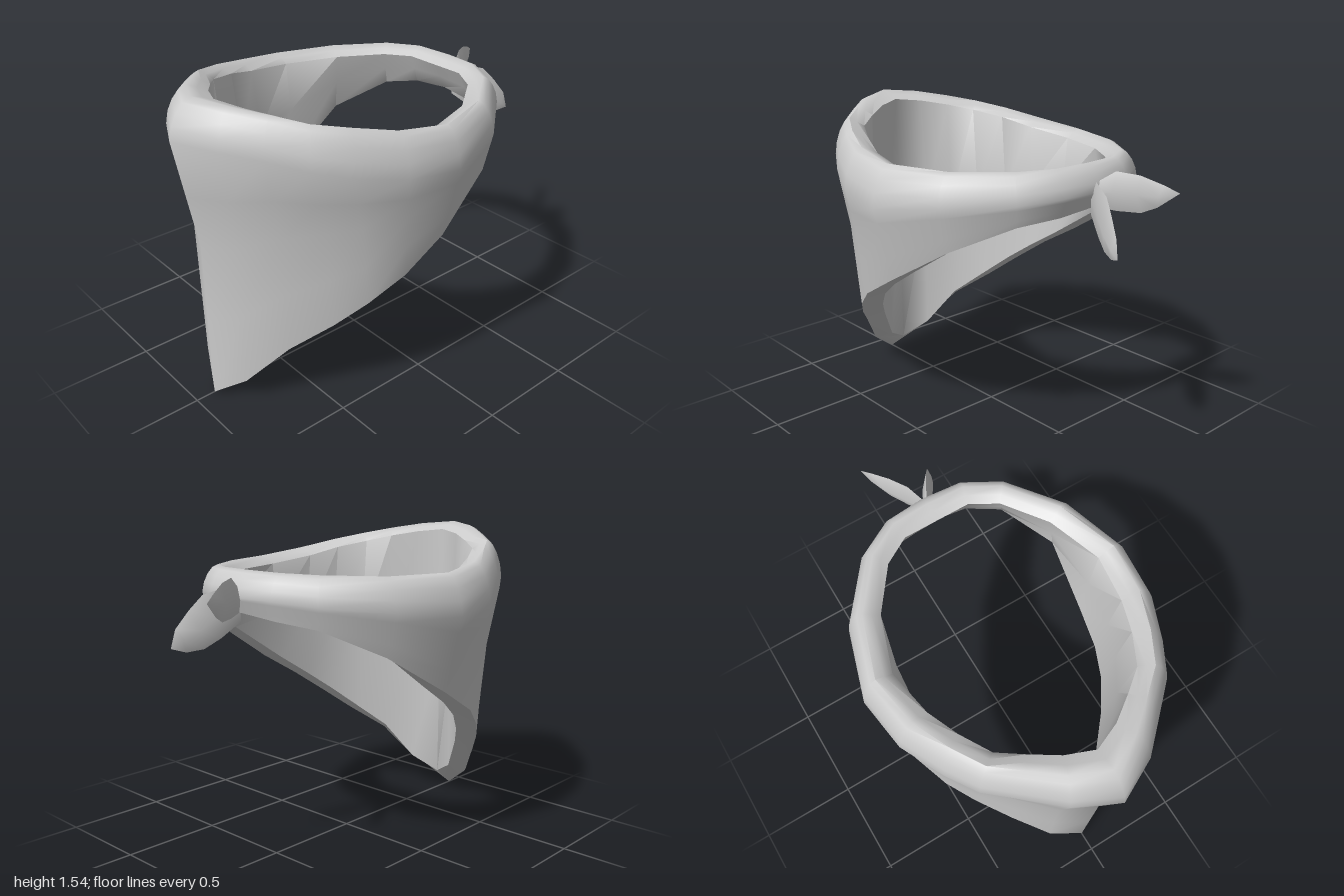
import * as THREE from 'three';
import { toCreasedNormals } from 'three/addons/utils/BufferGeometryUtils.js';

const material = new THREE.MeshStandardMaterial({ color: 0xcccccc });
const mix = THREE.MathUtils.lerp;

// Skin a row of closed cross-sections; `loop` joins the last section to the first.
function loft(name, rings, loop, crease) {
  const n = rings.length, m = rings[0].length;
  const pos = rings.flat(2), index = [];
  for (let i = 0; i < (loop ? n : n - 1); i++) {
    for (let j = 0; j < m; j++) {
      const a = i * m + j, b = i * m + (j + 1) % m;
      const k = ((i + 1) % n) * m;
      const c = k + j, d = k + (j + 1) % m;
      index.push(a, b, d, a, d, c);
    }
  }
  // Signed volume tells whether the faces point outwards
  let volume = 0;
  const p = i => new THREE.Vector3().fromArray(pos, i * 3);
  for (let i = 0; i < index.length; i += 3) {
    volume += p(index[i]).dot(p(index[i + 1]).cross(p(index[i + 2])));
  }
  if (volume < 0) index.reverse();
  const g = new THREE.BufferGeometry();
  g.setAttribute('position', new THREE.Float32BufferAttribute(pos, 3));
  g.setIndex(index);
  const mesh = new THREE.Mesh(toCreasedNormals(g, crease), material);
  mesh.name = name;
  return mesh;
}

// Half of the scarf, front to back: points along each guide line.
const bulge = [ // widest line of the rolled rim
  [0, 1.37, 1], [.2, 1.36, .9], [.34, 1.33, .77], [.48, 1.29, .64], [.57, 1.25, .49], [.67, 1.21, .27],
  [.705, 1.18, 0], [.6, 1.22, -.33], [.39, 1.25, -.59], [.2, 1.27, -.69], [0, 1.27, -.71]];
const hem = [ // outer lower edge
  [0, 0, .9], [.17, .13, .82], [.32, .33, .67], [.45, .46, .51], [.54, .57, .38], [.61, .69, .22],
  [.62, .82, 0], [.55, 1.02, -.33], [.37, 1.15, -.57], [.2, 1.18, -.66], [0, 1.2, -.68]];
const innerHem = [ // inner lower edge, meeting the outer one towards the back
  [0, .1, .78], [.13, .18, .71], [.25, .37, .6], [.35, .49, .47], [.43, .61, .33], [.47, .71, .19],
  [.485, .83, 0], [.5, 1.03, -.3], [.34, 1.16, -.53], [.185, 1.19, -.61], [0, 1.2, -.63]];
const opening = [ // neck opening in plan, x and z
  [0, .775], [.13, .72], [.25, .635], [.36, .55], [.44, .4], [.5, .24],
  [.54, 0], [.45, -.27], [.3, -.47], [.17, -.545], [0, -.545]];
const rimTop = [1.54, 1.525, 1.5, 1.47, 1.44, 1.4, 1.37, 1.37, 1.38, 1.385, 1.385];
// Rim profile: share of the way in, share of the rise, drop below the top
const rimProfile = [[0, 0, 0], [.06, .35, 0], [.18, .66, 0], [.34, .9, 0], [.52, 1, 0], [.76, 1, .018], [1, 1, .04]];

function section(i, side) {
  const o = bulge[i], h = hem[i], n = innerHem[i], q = opening[i];
  const frontness = Math.max(0, 1 - i / 6);
  // Outer wall: hangs straight at the sides, bends below the rim in front
  const wall = f => {
    const t = mix(f, Math.min(1, f * 2.5), frontness);
    return [mix(o[0], h[0], t), mix(o[1], h[1], f), mix(o[2], h[2], t)];
  };
  // Rim: rounded outside, ending in an edge at the neck opening
  const rim = ([t, f, drop]) => [mix(o[0], q[0], t), mix(o[1], rimTop[i], f) - drop, mix(o[2], q[1], t)];
  const inside = [(q[0] + n[0]) / 2, (rimTop[i] - .04 + n[1]) / 2, (q[1] + n[2]) / 2];
  return [h, wall(.7), wall(.4), wall(.2), ...rimProfile.map(rim), inside, n]
    .map(([x, y, z]) => [x * side, y, z]);
}

// Knot tail: diamond sections between an upper and a lower [z, y] edge.
function tail(name, x0, slope, edges) {
  const rings = edges.map(([zu, yu, zl, yl, half]) => {
    const x = z => x0 + slope * (-.7 - z);
    const z = (zu + zl) / 2, y = (yu + yl) / 2;
    return [[x(zu), yu, zu], [x(z) + half, y, z], [x(zl), yl, zl], [x(z) - half, y, z]];
  });
  return loft(name, rings, false, 1.2);
}

export function createModel() {
  const group = new THREE.Group();
  group.name = 'neckerchief';

  // Scarf: right round the neck, mirrored about x = 0
  const rings = [];
  for (let i = 0; i <= 10; i++) rings.push(section(i, 1));
  for (let i = 9; i >= 1; i--) rings.push(section(i, -1));
  group.add(loft('scarf', rings, true, 1));

  // Two leaf-like tails at the back
  group.add(tail('rightTail', 0, -.56, [
    [-.68, 1.26, -.68, 1.26, 0], [-.7, 1.32, -.69, 1.2, .02], [-.76, 1.365, -.77, 1.19, .03],
    [-.85, 1.355, -.86, 1.19, .028], [-.94, 1.32, -.92, 1.22, .018], [-1, 1.29, -1, 1.29, 0]]));
  group.add(tail('leftTail', .03, .52, [
    [-.67, 1.24, -.67, 1.24, 0], [-.71, 1.32, -.67, 1.16, .02], [-.82, 1.285, -.75, 1.09, .03],
    [-.875, 1.22, -.82, 1.045, .03], [-.93, 1.14, -.89, 1.035, .02], [-.95, 1.055, -.95, 1.055, 0]]));
  return group;
}
